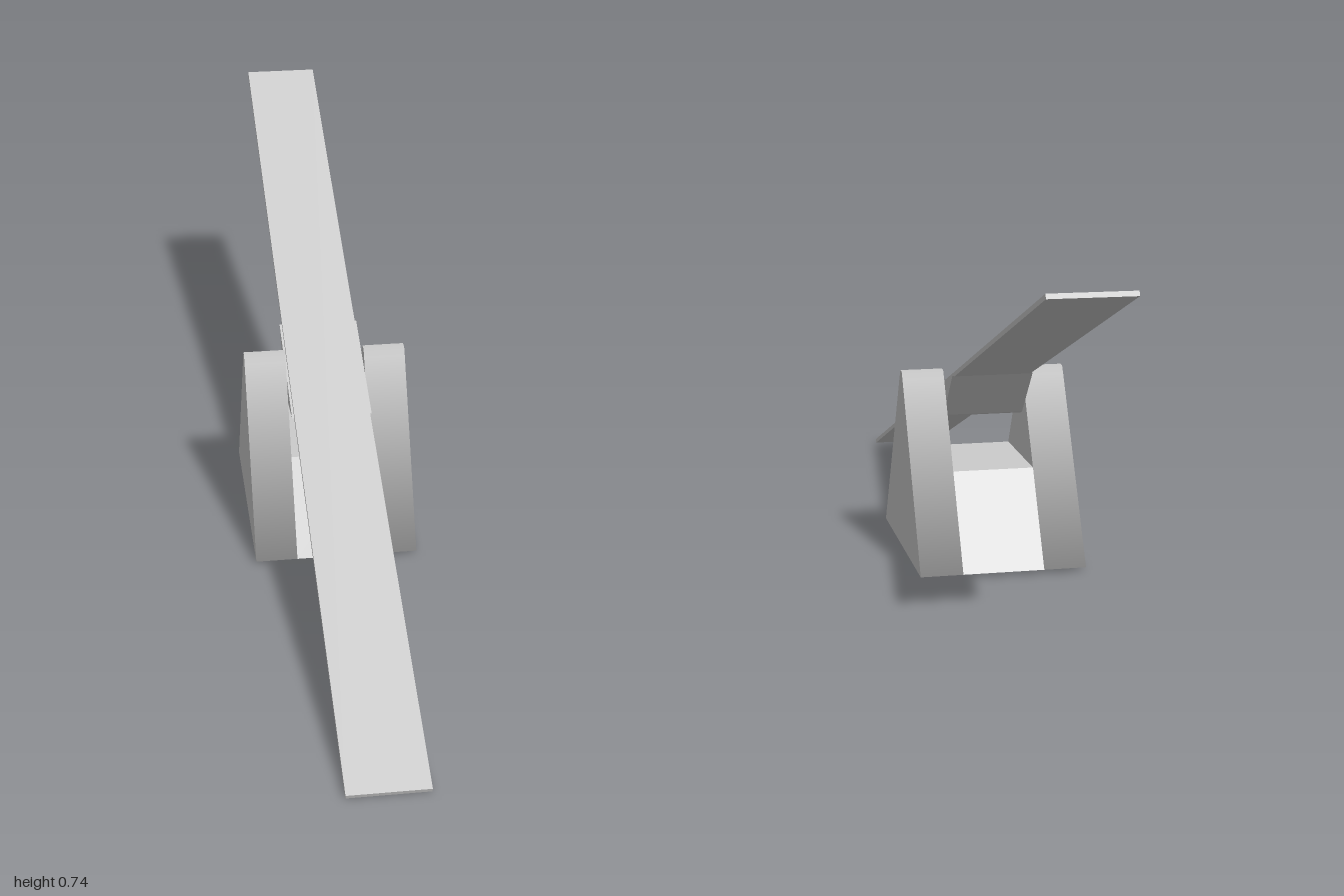
import * as THREE from 'three';

const BASE_Z = -0.045; // centre line of the stand

// Extrude a [z, y] profile symmetrically along x
function prism(name, points, width) {
  const shape = new THREE.Shape(points.map(([z, y]) => new THREE.Vector2(z, y)));
  const geometry = new THREE.ExtrudeGeometry(shape, { depth: width, bevelEnabled: false });
  geometry.translate(0, 0, -width / 2).rotateY(-Math.PI / 2);
  const mesh = new THREE.Mesh(geometry, new THREE.MeshStandardMaterial({ color: 0xcccccc }));
  mesh.name = name;
  return mesh;
}

// Smooth the rim of a side wall: rim normals point away from the triangle's centre
function softenRim(geometry) {
  const p = geometry.attributes.position, n = geometry.attributes.normal;
  const v = new THREE.Vector3();
  for (let i = 0; i < p.count; i++) {
    if (Math.abs(n.getX(i)) > 0.5) continue;
    v.set(0, p.getY(i) - 0.145, p.getZ(i) - BASE_Z).normalize();
    n.setXYZ(i, v.x, v.y, v.z);
  }
}

export function createModel() {
  const model = new THREE.Group();
  model.name = 'seesaw';

  // Stand: two triangular walls joined by a low trapezoid block
  const stand = new THREE.Group();
  stand.name = 'stand';
  const wallProfile = [
    [0.24, 0.008], [0.02, 0.398], [0.009, 0.415],
    [-0.009, 0.415], [-0.02, 0.398], [-0.24, 0.008],
  ].map(([z, y]) => [z + BASE_Z, y]);
  for (const [side, name] of [[1, 'leftWall'], [-1, 'rightWall']]) {
    const wall = prism(name, wallProfile, 0.094);
    softenRim(wall.geometry);
    wall.position.x = side * 0.137;
    stand.add(wall);
  }
  const blockProfile = [[0.24, 0.008], [0.126, 0.21], [-0.126, 0.21], [-0.24, 0.008]]
    .map(([z, y]) => [z + BASE_Z, y]);
  stand.add(prism('middleBlock', blockProfile, 0.18));
  model.add(stand);

  // Tilting part: long plank with a pivot wedge beneath it
  const lever = new THREE.Group();
  lever.name = 'lever';
  lever.position.y = 0.368;
  lever.rotation.x = THREE.MathUtils.degToRad(20);
  const plank = new THREE.Mesh(
    new THREE.BoxGeometry(0.17, 0.01, 2.125),
    new THREE.MeshStandardMaterial({ color: 0xcccccc })
  );
  plank.name = 'plank';
  const wedge = prism('pivotWedge',
    [[0.112, -0.004], [-0.022, -0.072], [-0.038, -0.072], [-0.172, -0.004]], 0.18);
  lever.add(plank, wedge);
  model.add(lever);

  return model;
}
